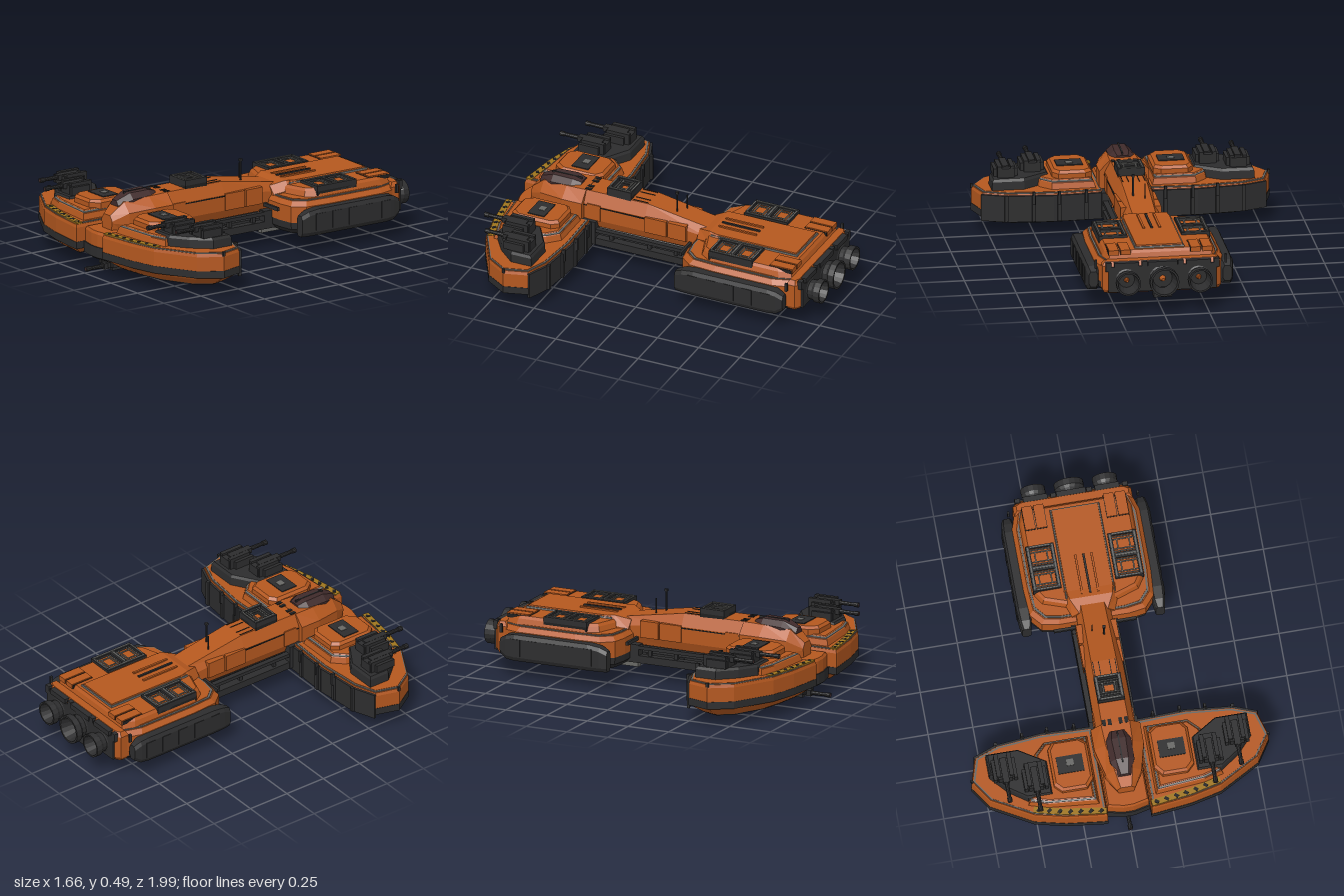
import * as THREE from 'three';

const mat = (name, color) => {
  const m = new THREE.MeshStandardMaterial({ color, flatShading: true });
  m.name = name;
  return m;
};

export function createModel() {
  const orange = mat('orange paint', 0xb5581f), dark = mat('dark metal', 0x2d2d2e);
  const grey = mat('grey trim', 0x686865), glass = mat('canopy glass', 0x402b2b);
  const yellow = mat('hazard yellow', 0xa0761e), black = mat('black recess', 0x1f1f1f);
  const root = new THREE.Group();

  const add = (name, geo, m, x = 0, y = 0, z = 0) => {
    const mesh = new THREE.Mesh(geo, m);
    mesh.name = name;
    mesh.position.set(x, y, z);
    root.add(mesh);
    return mesh;
  };
  // box given by its limits
  const box = (name, m, x0, x1, y0, y1, z0, z1) => add(name,
    new THREE.BoxGeometry(Math.abs(x1 - x0), Math.abs(y1 - y0), z1 - z0), m, (x0 + x1) / 2, (y0 + y1) / 2, (z0 + z1) / 2);
  // skin over equal rings of points, closed at both ends
  const loft = (rings) => {
    const pos = [], n = rings[0].length, last = rings[rings.length - 1];
    const tri = (a, b, c) => pos.push(...a, ...b, ...c);
    for (let r = 0; r < rings.length - 1; r++) for (let i = 0; i < n; i++) {
      const j = (i + 1) % n, a = rings[r], b = rings[r + 1];
      tri(a[i], a[j], b[j]);
      tri(a[i], b[j], b[i]);
    }
    for (let i = 1; i < n - 1; i++) {
      tri(rings[0][0], rings[0][i + 1], rings[0][i]);
      tri(last[0], last[i], last[i + 1]);
    }
    const g = new THREE.BufferGeometry();
    g.setAttribute('position', new THREE.Float32BufferAttribute(pos, 3));
    g.computeVertexNormals();
    return g;
  };
  // plan outline [x, z] stacked through levels [y, inset]
  const slab = (name, m, outline, levels) => {
    let area = 0;
    outline.forEach(([x, z], i) => {
      const [u, w] = outline[(i + 1) % outline.length];
      area += z * u - x * w;
    });
    const pts = area > 0 ? outline : [...outline].reverse();
    const [cx, sx, cz, sz] = [0, 1].flatMap((k) => {
      const v = pts.map((p) => p[k]), lo = Math.min(...v), hi = Math.max(...v);
      return [(lo + hi) / 2, hi - lo];
    });
    return add(name, loft(levels.map(([y, d]) => pts.map(([x, z]) =>
      [cx + (x - cx) * (1 - 2 * d / sx), y, cz + (z - cz) * (1 - 2 * d / sz)]))), m);
  };
  const flip = (pts, s) => pts.map(([x, z]) => [x * s, z]);
  const both = (pts) => [...pts, ...flip([...pts].reverse(), -1)];
  // upright bar from p to q in plan
  const bar = (name, m, p, q, w, y0, y1) => {
    const dx = q[0] - p[0], dz = q[1] - p[1];
    const b = add(name, new THREE.BoxGeometry(Math.hypot(dx, dz), y1 - y0, w), m,
      (p[0] + q[0]) / 2, (y0 + y1) / 2, (p[1] + q[1]) / 2);
    b.rotation.y = -Math.atan2(dz, dx);
  };
  const rod = (name, m, r0, r1, len, x, y, z) => {
    const c = add(name, new THREE.CylinderGeometry(r1, r0, len, 10), m, x, y, z);
    c.rotation.x = Math.PI / 2;
  };
  // gun with two tall cheeks around a cradle; s below zero hangs it upside down
  const turret = (x, y, z, s = 1) => {
    const h = (v) => y + v * s;
    box('turretBody', dark, x - .04, x + .04, h(0), h(.052), z - .09, z + .06);
    box('turretCradle', dark, x - .018, x + .018, h(.03), h(.06), z - .06, z + .085);
    for (const k of [-1, 1]) {
      box('turretCheek', dark, x + k * .024, x + k * .048, h(0), h(.064), z - .085, z + .05);
      box('turretSkid', dark, x + k * .048, x + k * .066, h(0), h(.045), z - .06, z + .06);
    }
    rod('turretBarrel', dark, .013, .01, .12, x, h(.045), z + .13);
    rod('barrelMuzzle', dark, .014, .014, .025, x, h(.045), z + .185);
    rod('barrelBore', glass, .008, .008, .004, x, h(.045), z + .197);
  };
  // open-topped vent with a deep floor under a grey grille
  const vent = (x0, x1, y0, y1, z0, z1, count) => {
    const a = Math.min(x0, x1), b = Math.max(x0, x1), c = (a + b) / 2, step = (z1 - z0) / count, w = .022, top = y1 - .006;
    box('ventFloor', black, a, b, y0, y1 - .03, z0, z1);
    for (const [p, q] of [[a, a + w], [b - w, b]]) {
      box('ventWall', dark, p, q, y0, y1, z0, z1);
      box('ventEdge', grey, (p + q) / 2 - .004, (p + q) / 2 + .004, y1, y1 + .003, z0 + .01, z1 - .01);
    }
    for (let i = 0; i <= count; i++) {
      const z = z0 + i * step, p = Math.max(z0, z - w / 2 - .004), q = Math.min(z1, z + w / 2 + .004);
      box('ventWall', dark, a + w, b - w, y0, y1, p, q);
      box('ventEdge', grey, a + w, b - w, y1, y1 + .003, (p + q) / 2 - .004, (p + q) / 2 + .004);
      if (i === count) continue;
      const m = z + step / 2;
      box('ventCore', i ? grey : orange, c - .025, c + .025, y1 - .03, y1 - .024, m - .017, m + .017);
      for (const k of [-.042, -.028, .028, .042]) box('ventSlat', grey, a + w, b - w, top - .004, top, m + k - .0035, m + k + .0035);
      for (const k of [-1, 1]) box('ventSlat', grey, c + k * .03, c + k * .038, top - .004, top, m - .028, m + .028);
    }
  };

  // front wings, turret decks and weapons
  const wing = [[.12, .45], [.4, .44], [.66, .465], [.79, .515], [.83, .65], [.75, .775], [.52, .905], [.35, .945], [.14, .97], [.12, .97]];
  for (const s of [-1, 1]) {
    const w = flip(wing, s);
    slab('wingUnderside', dark, w, [[.062, .085], [.07, .08]]);
    slab('wingLowerBevel', orange, w, [[.069, .075], [.1, .03], [.118, .01]]);
    slab('wingBelt', dark, w, [[.114, 0], [.155, 0]]);
    slab('wingHull', orange, w, [[.155, .002], [.235, .002], [.252, .008]]);
    slab('wingTrim', grey, w, [[.25, .013], [.257, .013]]);
    slab('wingDeck', orange, w, [[.25, .023], [.259, .023]]);
    for (let i = 0; i < 3; i++) bar('wingRearWall', dark, w[i], w[i + 1], .016, .095, .245);
    for (const [x, z] of [[.22, .444], [.37, .439], [.51, .449], [.66, .463]]) {
      box('wingRearRib', dark, s * x - .01, s * x + .01, .1, .25, z - .018, z);
      if (x < .6) box('wingPost', dark, s * x - .007, s * x + .007, .2, .272, z - .026, z - .006);
    }
    box('wingTipLamp', dark, s * .818, s * .832, .24, .265, .643, .657);

    // hazard strip along the leading edge
    const a = [s * .125, .945], b = [s * .35, .913], c = [s * .52, .871];
    bar('hazardStrip', yellow, a, b, .036, .254, .2615);
    bar('hazardStrip', yellow, b, c, .036, .254, .2615);
    for (let i = 0; i < 7; i++) {
      const x = .155 + i * .056, z = x < .35 ? .945 - (x - .125) * .142 : .913 - (x - .35) * .247;
      bar('hazardMark', black, [s * (x - .01), z - .008], [s * (x + .01), z + .008], .018, .256, .263);
    }

    // stepped armour beside the neck
    const step = flip([[.16, .5], [.4, .5], [.46, .56], [.54, .84], [.44, .87], [.16, .895]], s);
    slab('wingStepTrim', grey, step, [[.258, 0], [.298, .012], [.303, .02]]);
    slab('wingStep', orange, step, [[.259, -.003], [.292, .007], [.308, .028]]);
    slab('wingCap', orange, flip([[.17, .56], [.21, .53], [.36, .53], [.39, .57], [.39, .78], [.35, .82], [.21, .82], [.17, .77]], s), [[.3, 0], [.335, 0], [.35, .014]]);
    box('capHatch', dark, s * .21, s * .355, .348, .355, .625, .725);
    box('capHatchGrate', grey, s * .262, s * .302, .35, .358, .648, .685);
    slab('turretDeck', dark, flip([[.4, .62], [.55, .525], [.73, .525], [.73, .65], [.64, .75], [.54, .82], [.4, .82]], s), [[.255, 0], [.305, .003], [.32, .012]]);
    turret(s * .645, .32, .645);
    turret(s * .487, .32, .725);
  }

  // centre block between the wings
  const prow = both([[.118, .45], [.118, .915], [.03, .935]]);
  slab('prowKeel', dark, prow, [[.083, .012], [.095, -.004], [.155, -.004]]);
  slab('prow', orange, prow, [[.155, .002], [.225, .002], [.24, .01]]);
  turret(0, .08, .795, -1.08);
  box('chinMount', dark, -.055, .055, .06, .09, .69, .87);

  // neck and nose: [z, half width, top half width, bottom, shoulder, top]
  const ring = ([z, w, t, b, sh, top]) => [[-w * .8, b, z], [w * .8, b, z], [w, b + .05, z], [w, sh, z], [t, top, z], [-t, top, z], [-w, sh, z], [-w, b + .05, z]];
  add('neck', loft([[-.24, .095, .065, .2, .3, .345], [.13, .105, .07, .2, .34, .408], [.5, .11, .075, .2, .34, .408]].map(ring)), orange);
  add('nose', loft([[.5, .138, .08, .2, .35, .41], [.62, .138, .075, .21, .35, .405], [.77, .1, .05, .22, .335, .39], [.85, .05, .03, .23, .29, .32]].map(ring)), orange);
  add('canopy', loft([[.55, .05, .03, .34, .4, .418], [.6, .07, .04, .33, .405, .432], [.72, .068, .035, .32, .4, .43], [.8, .035, .02, .31, .37, .395]].map(ring)), glass);
  box('canopyFrame', dark, -.004, .004, .4, .434, .56, .74);
  vent(-.075, .075, .39, .452, .23, .375, 1);
  for (const s of [-1, 1]) {
    for (const [z0, z1] of [[0, .13], [.4, .48], [-.12, -.01]]) box('neckPanel', orange, s * .075, s * .113, .25, .345, z0, z1);
    for (const x of [.03, .062]) {
      box('neckWindow', black, s * (x - .01), s * (x + .01), .404, .412, .475, .51);
      box('roofStripe', black, s * (x - .002), s * (x + .002), .4, .411, .13, .22);
    }
    box('neckGroove', black, s * .1, s * .112, .33, .335, .13, .5);
    box('neckRail', dark, s * .1, s * .13, .185, .205, -.2, .5);
    box('keelBeam', dark, s * .085, s * .13, .108, .15, -.3, .53);
    box('neckSideBlock', dark, s * .08, s * .135, .11, .25, .42, .53);
    box('neckRearBlock', dark, s * .08, s * .13, .11, .21, -.2, -.12);
    for (const z of [-.06, .1, .33]) box('trussPost', dark, s * .095, s * .115, .14, .19, z - .01, z + .01);
    rod('fuelPipe', dark, .009, .009, .64, s * .05, .175, .12);
    box('sideStrut', dark, s * .1, s * .23, .23, .25, -.15, -.135);
  }
  box('keelSpine', dark, -.035, .035, .115, .145, -.3, .53);
  for (const z of [-.1, .1, .3]) box('keelTie', dark, -.1, .1, .12, .14, z - .015, z + .015);
  box('antenna', dark, .026, .034, .37, .5, -.034, -.026);
  box('antennaTip', dark, .022, .038, .49, .503, -.038, -.022);
  box('shortAntenna', dark, -.034, -.028, .36, .46, -.066, -.06);

  // boom beneath the stern
  box('boom', grey, -.016, .016, .05, .077, -.43, -.18);
  box('boomEnd', dark, -.014, .014, .012, .055, -.43, -.415);

  // stern hull
  const stern = both([[.2, -.17], [.29, -.185], [.345, -.25], [.355, -.4], [.355, -.76], [.32, -.875]]);
  slab('sternBottom', dark, stern, [[.1, .035], [.13, .005], [.17, .002]]);
  slab('sternHull', orange, stern, [[.17, 0], [.262, 0], [.288, .022]]);
  slab('sternTrim', grey, stern, [[.28, .027], [.293, .027]]);
  slab('sternDeck', orange, stern, [[.28, .037], [.296, .037]]);
  const tier = both([[.11, -.235], [.27, -.29], [.315, -.36], [.315, -.78], [.29, -.85]]);
  slab('sternTier', orange, tier, [[.29, 0], [.325, .012], [.34, .025]]);
  slab('roofTrim', grey, both([[.14, -.28], [.14, -.81]]), [[.335, 0], [.349, .004]]);
  slab('roofPanel', orange, both([[.132, -.288], [.132, -.802]]), [[.335, 0], [.356, .004]]);
  add('neckCollar', loft([[-.33, .17, .13, .2, .31, .355], [-.27, .15, .12, .2, .31, .36], [-.19, .12, .08, .2, .29, .335]].map(ring)), orange);
  for (const x of [-.045, 0, .045]) box('roofRib', x ? orange : dark, x - .006, x + .006, .35, .364, -.52, -.29);
  slab('sternBlock', orange, both([[.33, -.83], [.33, -.885], [.3, -.91]]), [[.12, .012], [.14, 0], [.275, 0], [.3, .018]]);
  box('sternPlate', dark, -.3, .3, .13, .275, -.92, -.905);
  for (const s of [-1, 1]) {
    vent(s * .15, s * .308, .3, .355, -.615, -.35, 2);
    for (const x of [.195, .26]) {
      box('ramGroove', black, s * (x - .03), s * (x + .03), .32, .342, -.845, -.71);
      box('ramPanel', orange, s * (x - .027), s * (x + .027), .32, .348, -.85, -.714);
    }
    // side pods with ribs
    const pod = (z, d, lift = 0) => {
      const c = s * .372, hx = .038 - d * .4, y0 = .11 + lift, y1 = .258 - d, k = .022;
      return [[c - hx + k / 2, y0, z], [c + hx - k / 2, y0, z], [c + hx, y0 + k, z], [c + hx, y1 - k, z],
        [c + hx - k / 2, y1, z], [c - hx + k / 2, y1, z], [c - hx, y1 - k, z], [c - hx, y0 + k, z]];
    };
    add('sidePod', loft([pod(-.84, .03, .03), pod(-.8, .008, .005), pod(-.75, 0), pod(-.3, 0), pod(-.23, .01), pod(-.185, .03)]), dark);
    for (let z = -.74; z < -.29; z += .11) box('podRib', dark, s * .38, s * .413, .14, .235, z - .03, z + .03);
    box('sternLamp', dark, s * .355, s * .367, .25, .3, -.855, -.84);
    // dark clamps along the stern edge
    for (const x of [.1, .3]) box('sternClamp', dark, s * (x - .015), s * (x + .015), .25, .3, -.92, -.895);
  }

  // engines
  for (const [x, r] of [[-.2, .068], [0, .082], [.2, .068]]) {
    const nozzle = new THREE.LatheGeometry([[.72, 0], [1.05, .015], [1.05, .035], [.8, .045], [.85, .07], [1, .085], [1, .12], [.86, .12], [.65, .04], [0, .035]]
      .map(([k, y]) => new THREE.Vector2(k * r, y)), 16);
    const m = add('engineNozzle', nozzle, dark, x, .2, -.88);
    m.rotation.x = -Math.PI / 2;
    rod('engineCore', orange, r * .1, r * .25, .04, x, .2, -.93);
    box('engineBracket', dark, x - r, x + r, .268, .298, -.925, -.885);
  }
  box('engineCradle', dark, -.05, .05, .092, .15, -.925, -.87);
  dark.side = THREE.DoubleSide;
  return root;
}
